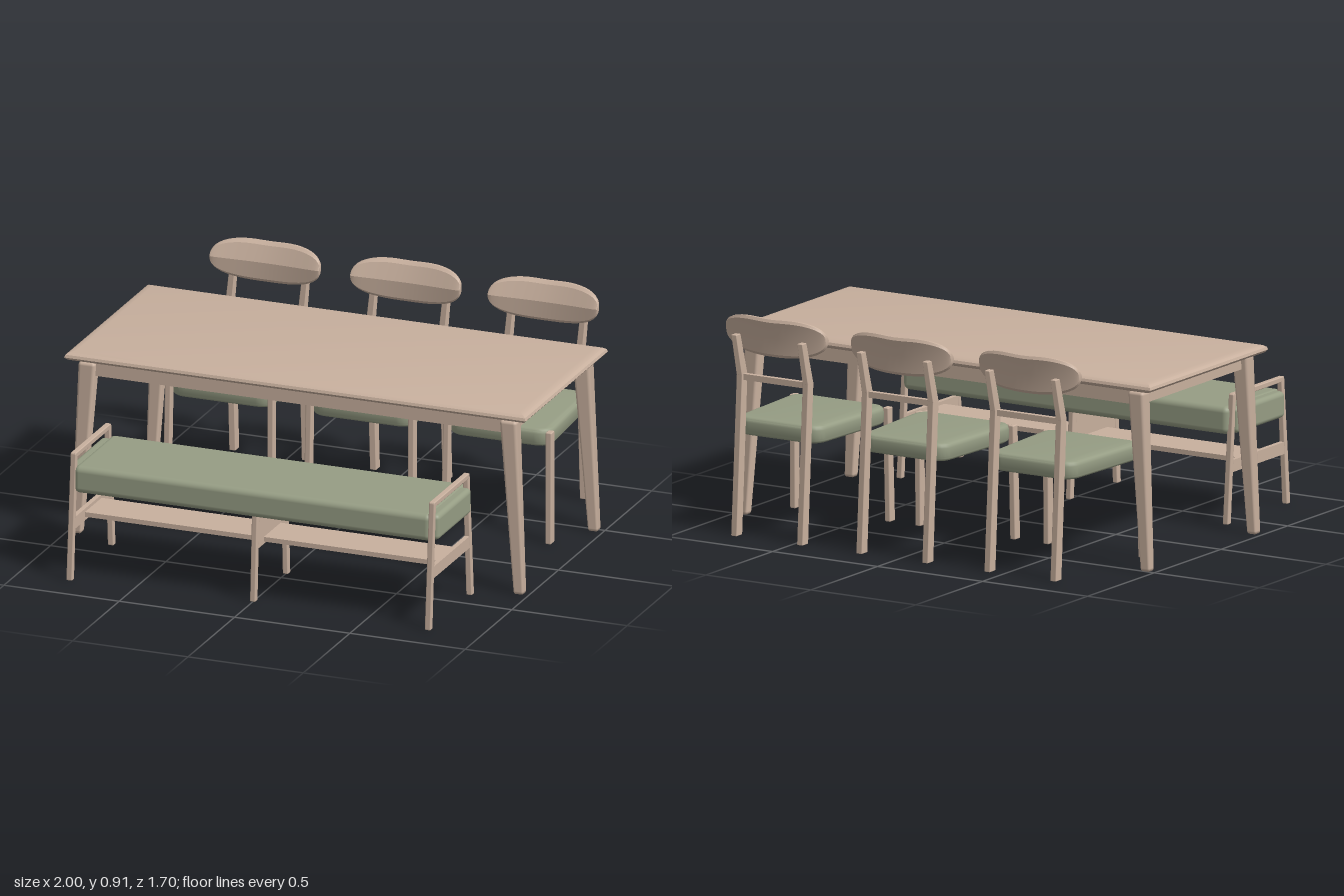
import * as THREE from 'three';
import { toCreasedNormals } from 'three/addons/utils/BufferGeometryUtils.js';
import { RoundedBoxGeometry } from 'three/addons/geometries/RoundedBoxGeometry.js';

const wood = new THREE.MeshStandardMaterial({ color: 0xc8b09e });
wood.name = 'pale wood';
const fabric = new THREE.MeshStandardMaterial({ color: 0x969d84 });
fabric.name = 'sage fabric';

function add(parent, name, geometry, material, x = 0, y = 0, z = 0) {
  const mesh = new THREE.Mesh(geometry, material);
  mesh.name = name;
  mesh.position.set(x, y, z);
  parent.add(mesh);
  return mesh;
}

function box(parent, name, material, x0, x1, y0, y1, z0, z1, r = 0) {
  const [w, h, d] = [x1 - x0, y1 - y0, z1 - z0];
  const g = r ? new RoundedBoxGeometry(w, h, d, 4, r) : new THREE.BoxGeometry(w, h, d);
  return add(parent, name, g, material, (x0 + x1) / 2, (y0 + y1) / 2, (z0 + z1) / 2);
}

// Leaning, tapering leg: each end is [x, y, z, width, depth]
function leg(parent, name, a, b, r = 0.005) {
  const w = Math.max(a[3], b[3]), d = Math.max(a[4], b[4]), h = b[1] - a[1];
  const g = new RoundedBoxGeometry(w, h, d, 2, r);
  const p = g.attributes.position;
  const mix = THREE.MathUtils.lerp;
  for (let i = 0; i < p.count; i++) {
    const t = p.getY(i) / h + 0.5;
    p.setXYZ(i,
      mix(a[0], b[0], t) + p.getX(i) * mix(a[3], b[3], t) / w,
      mix(a[1], b[1], t),
      mix(a[2], b[2], t) + p.getZ(i) * mix(a[4], b[4], t) / d);
  }
  return add(parent, name, g, wood);
}

// Skin over a row of closed rings, with flat caps
function loft(rings, crease) {
  const n = rings[0].length, index = [];
  for (let i = 0; i < rings.length - 1; i++) {
    for (let j = 0; j < n; j++) {
      const a = i * n + j, b = i * n + (j + 1) % n;
      index.push(a, b, a + n, b, b + n, a + n);
    }
  }
  const last = (rings.length - 1) * n;
  for (let j = 1; j < n - 1; j++) index.push(0, j + 1, j, last, last + j, last + j + 1);
  const g = new THREE.BufferGeometry();
  g.setAttribute('position', new THREE.Float32BufferAttribute(rings.flat(2), 3));
  g.setIndex(index);
  return toCreasedNormals(g, crease);
}

function makeTable() {
  const table = new THREE.Group();
  table.name = 'table';
  const zMid = -0.088;

  // Top with a softly rounded rim: [height, inset]
  const rim = [[0.732, 0.06], [0.737, 0.03], [0.745, 0.01], [0.756, 0], [0.767, 0.004], [0.775, 0.016], [0.78, 0.04]];
  const rings = rim.map(([y, s]) =>
    [[1, 1], [1, -1], [-1, -1], [-1, 1]].map(([x, z]) => [x * (1 - s), y, zMid + z * (0.443 - s)]));
  add(table, 'tableTop', loft(rings, 0.6), wood);

  for (const s of [-1, 1]) {
    box(table, 'longApron', wood, -0.9, 0.9, 0.68, 0.735, zMid + s * 0.39 - 0.012, zMid + s * 0.39 + 0.012);
    box(table, 'shortApron', wood, s * 0.912 - 0.012, s * 0.912 + 0.012, 0.68, 0.735, zMid - 0.37, zMid + 0.37);
    for (const f of [-1, 1]) {
      leg(table, 'tableLeg',
        [s * 0.959, 0, zMid + f * 0.399, 0.043, 0.042],
        [s * 0.913, 0.737, zMid + f * 0.39, 0.074, 0.062], 0.014);
    }
  }
  return table;
}

// Seat pad: rounded trapezoid, wider at the front
function seatGeometry() {
  const bevel = 0.02, r = 0.05;
  const corners = [[-0.225, 0.28], [0.225, 0.28], [0.2, 0.78], [-0.2, 0.78]]
    .map(([x, y]) => new THREE.Vector2(x - Math.sign(x) * bevel, y + (y < 0.5 ? bevel : -bevel)));
  const shape = new THREE.Shape();
  corners.forEach((c, i) => {
    const prev = corners[(i + 3) % 4], next = corners[(i + 1) % 4];
    const p = c.clone().add(prev.clone().sub(c).setLength(r));
    const q = c.clone().add(next.clone().sub(c).setLength(r));
    if (i) shape.lineTo(p.x, p.y); else shape.moveTo(p.x, p.y);
    shape.quadraticCurveTo(c.x, c.y, q.x, q.y);
  });
  shape.closePath();
  const g = new THREE.ExtrudeGeometry(shape, {
    depth: 0.035, bevelEnabled: true, bevelSize: bevel, bevelThickness: bevel, bevelSegments: 4, curveSegments: 6,
  });
  g.rotateX(-Math.PI / 2);
  return toCreasedNormals(g, 0.6);
}

// Curved backrest with a horizontal crease: ring points are [height, depth offset]
function backrestGeometry() {
  const ring = [[1, 0.006], [0.85, 0.016], [0, 0.022], [-0.85, 0.016], [-1, 0.006],
    [-1, -0.006], [-0.85, -0.016], [0, -0.02], [0.85, -0.016], [1, -0.006]];
  const rings = [];
  for (let i = 0; i <= 24; i++) {
    const u = 0.997 * Math.sin((i / 24 - 0.5) * Math.PI);
    const h = 0.083 * Math.pow(1 - Math.pow(Math.abs(u), 2.8), 1 / 2.6);
    const dip = 0.006 * Math.exp(-u * u * 8);
    rings.push(ring.map(([v, t]) => {
      const lean = v > 0 ? -0.026 * v : 0.004 * -v;
      return [
        u * 0.238,
        0.832 + v * h - (v > 0 ? dip * v : 0) + 0.006 * u * u,
        -0.8 + lean * h / 0.083 + 0.03 * u * u + t * (0.5 + 0.5 * h / 0.083),
      ];
    }));
  }
  return loft(rings, 0.3);
}

function makeChair(x, seat, backrest) {
  const chair = new THREE.Group();
  chair.name = 'chair';
  chair.position.x = x;
  add(chair, 'chairSeat', seat, fabric, 0, 0.423, 0);
  add(chair, 'backrest', backrest, wood);
  box(chair, 'backRail', wood, -0.15, 0.15, 0.636, 0.661, -0.798, -0.776);
  for (const s of [-1, 1]) {
    leg(chair, 'chairFrontLeg', [s * 0.226, 0, -0.281, 0.026, 0.04], [s * 0.222, 0.472, -0.293, 0.026, 0.036]);
    leg(chair, 'chairRearLeg', [s * 0.157, 0, -0.828, 0.027, 0.044], [s * 0.157, 0.66, -0.787, 0.027, 0.042], 0.003);
    leg(chair, 'chairBackPost', [s * 0.157, 0.655, -0.787, 0.027, 0.042], [s * 0.157, 0.83, -0.834, 0.024, 0.034], 0.003);
  }
  return chair;
}

function makeBench() {
  const bench = new THREE.Group();
  bench.name = 'bench';
  const zMid = 0.618;

  // Cushion with ends that push out between the legs
  box(bench, 'benchCushion', fabric, -0.775, 0.775, 0.363, 0.478, 0.402, 0.818, 0.025);
  box(bench, 'cushionEnds', fabric, -0.803, 0.803, 0.366, 0.475, 0.437, 0.797, 0.02);
  box(bench, 'shelf', wood, -0.77, 0.77, 0.226, 0.246, zMid - 0.09, zMid + 0.09);

  for (const s of [-1, 1]) {
    const x = s * 0.777;
    box(bench, 'armRail', wood, x - 0.012, x + 0.012, 0.51, 0.532, 0.43, 0.808, 0.004);
    box(bench, 'sideStretcher', wood, x - 0.01, x + 0.01, 0.21, 0.26, 0.405, 0.83);
    for (const f of [-1, 1]) {
      leg(bench, 'benchLeg', [x, 0, zMid + f * 0.223, 0.026, 0.026], [x, 0.53, zMid + f * 0.18, 0.024, 0.022]);
    }
    // Middle support legs
    leg(bench, 'middleLeg', [0, 0, zMid + s * 0.176, 0.024, 0.029], [0, 0.368, zMid + s * 0.155, 0.024, 0.029]);
  }
  leg(bench, 'middleBoard', [0, 0.215, zMid, 0.018, 0.33], [0, 0.367, zMid, 0.018, 0.315], 0.002);
  return bench;
}

export function createModel() {
  const model = new THREE.Group();
  model.name = 'diningSet';
  const seat = seatGeometry(), backrest = backrestGeometry();
  model.add(makeTable(), makeBench());
  for (const x of [-0.583, 0.027, 0.623]) model.add(makeChair(x, seat, backrest));
  return model;
}
